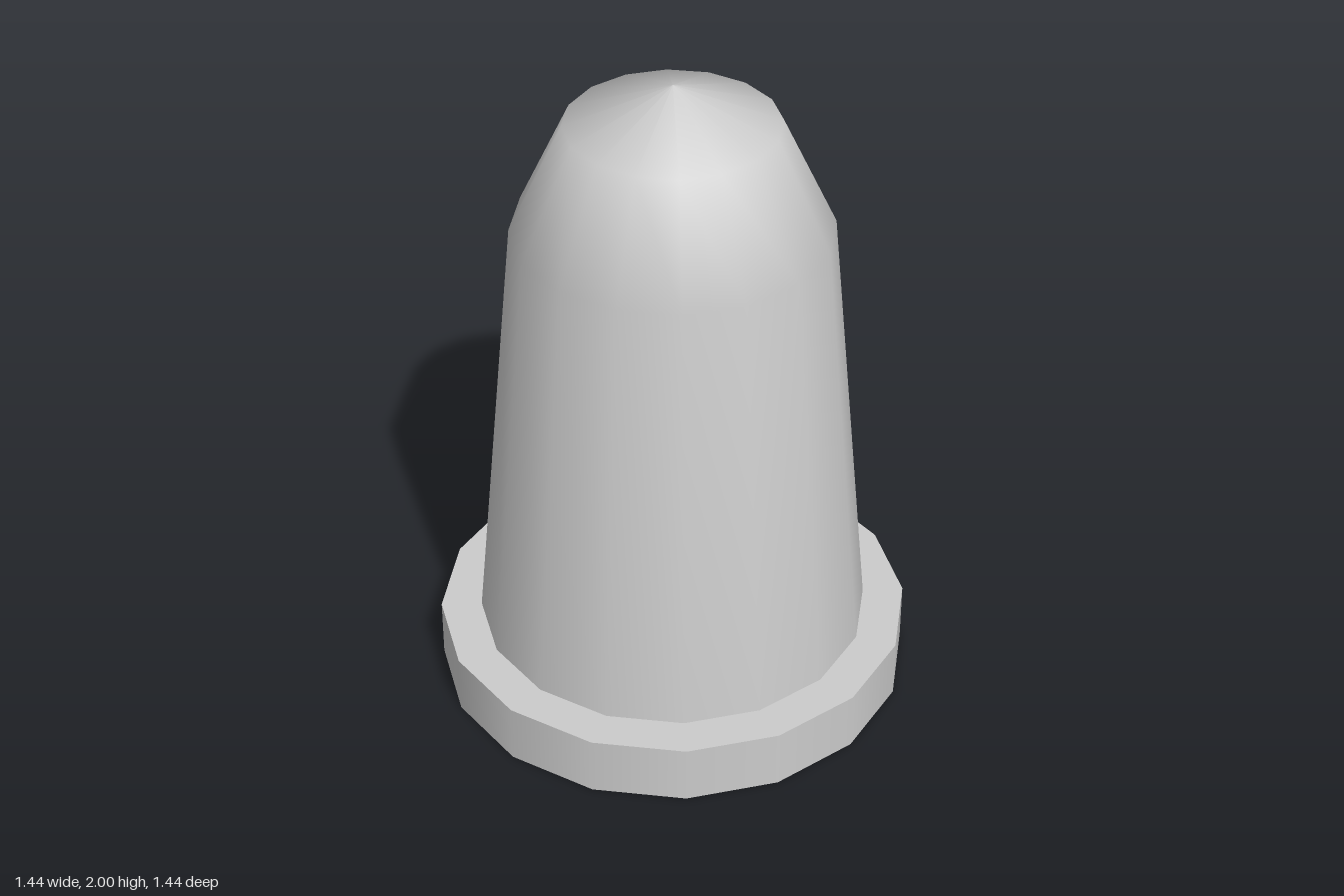
import * as THREE from 'three';

const SIDES = 16;

export function createModel() {
  const group = new THREE.Group();
  const material = new THREE.MeshStandardMaterial({ color: 0xcccccc, side: THREE.DoubleSide });

  // Thin open shell turned around the y axis; smooth within each part, sharp between parts
  const addShell = (name, profile) => {
    const points = profile.map(([r, y]) => new THREE.Vector2(r, y));
    const mesh = new THREE.Mesh(new THREE.LatheGeometry(points, SIDES), material);
    mesh.name = name;
    group.add(mesh);
  };

  // Short upright wall of the base, open underneath
  addShell('baseCollar', [[0.722, 0], [0.722, 0.185]]);
  // Flat ring joining the collar to the body
  addShell('baseLedge', [[0.722, 0.185], [0.597, 0.185]]);
  // Hollow tapered body with a rounded, pointed cap
  addShell('domedBody', [[0.597, 0.185], [0.47, 1.545], [0.312, 1.88], [0, 2]]);

  return group;
}
